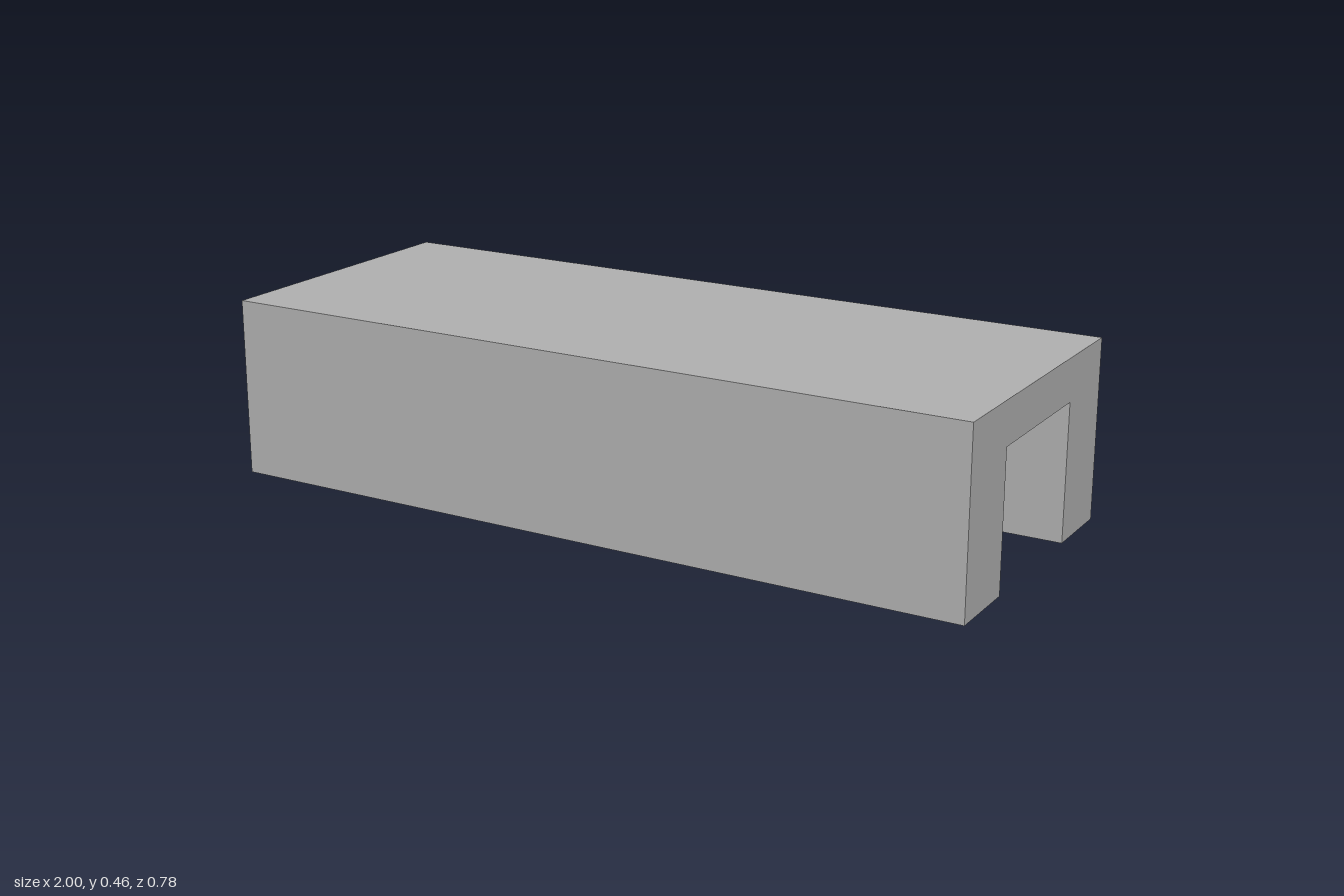
import * as THREE from 'three';

const LENGTH = 2, HEIGHT = 0.46, HALF_DEPTH = 0.39;
const INNER = 0.193, CEILING = 0.35;
const HOLE_X = 0.7, HOLE_R = 0.052, HOLE_DEPTH = 0.25;

const grey = new THREE.MeshStandardMaterial({ color: 0xb2b2b2 });
grey.name = 'plain grey';

function part(name, geometry) {
  const mesh = new THREE.Mesh(geometry, grey);
  mesh.name = name;
  return mesh;
}

// Upper channel: an inverted U swept along x, down to the depth of the holes
function channelGeometry() {
  const profile = new THREE.Shape([
    [-HALF_DEPTH, HOLE_DEPTH], [-INNER, HOLE_DEPTH], [-INNER, CEILING], [INNER, CEILING],
    [INNER, HOLE_DEPTH], [HALF_DEPTH, HOLE_DEPTH], [HALF_DEPTH, HEIGHT], [-HALF_DEPTH, HEIGHT],
  ].map(([z, y]) => new THREE.Vector2(z, y)));
  return new THREE.ExtrudeGeometry(profile, { depth: LENGTH, bevelEnabled: false })
    .translate(0, 0, -LENGTH / 2)
    .rotateY(Math.PI / 2);
}

// Lower leg: a long bar with two round holes, extruded upwards
function legGeometry() {
  const w = (HALF_DEPTH - INNER) / 2, l = LENGTH / 2;
  const shape = new THREE.Shape([[-l, -w], [l, -w], [l, w], [-l, w]]
    .map(([x, y]) => new THREE.Vector2(x, y)));
  for (const x of [-HOLE_X, HOLE_X]) {
    shape.holes.push(new THREE.Path().absarc(x, 0, HOLE_R, 0, Math.PI * 2, true));
  }
  return new THREE.ExtrudeGeometry(shape, { depth: HOLE_DEPTH, bevelEnabled: false, curveSegments: 32 })
    .rotateX(-Math.PI / 2);
}

export function createModel() {
  const model = new THREE.Group();
  model.name = 'channelBlock';
  model.add(part('channel', channelGeometry()));

  for (const [name, side] of [['frontLeg', 1], ['backLeg', -1]]) {
    const leg = part(name, legGeometry());
    leg.position.z = side * (HALF_DEPTH + INNER) / 2;
    model.add(leg);
  }

  // Small round button under the ceiling
  const button = part('ceilingButton', new THREE.CylinderGeometry(HOLE_R, HOLE_R, 0.018, 32));
  button.position.y = CEILING - 0.008;
  model.add(button);

  return model;
}
